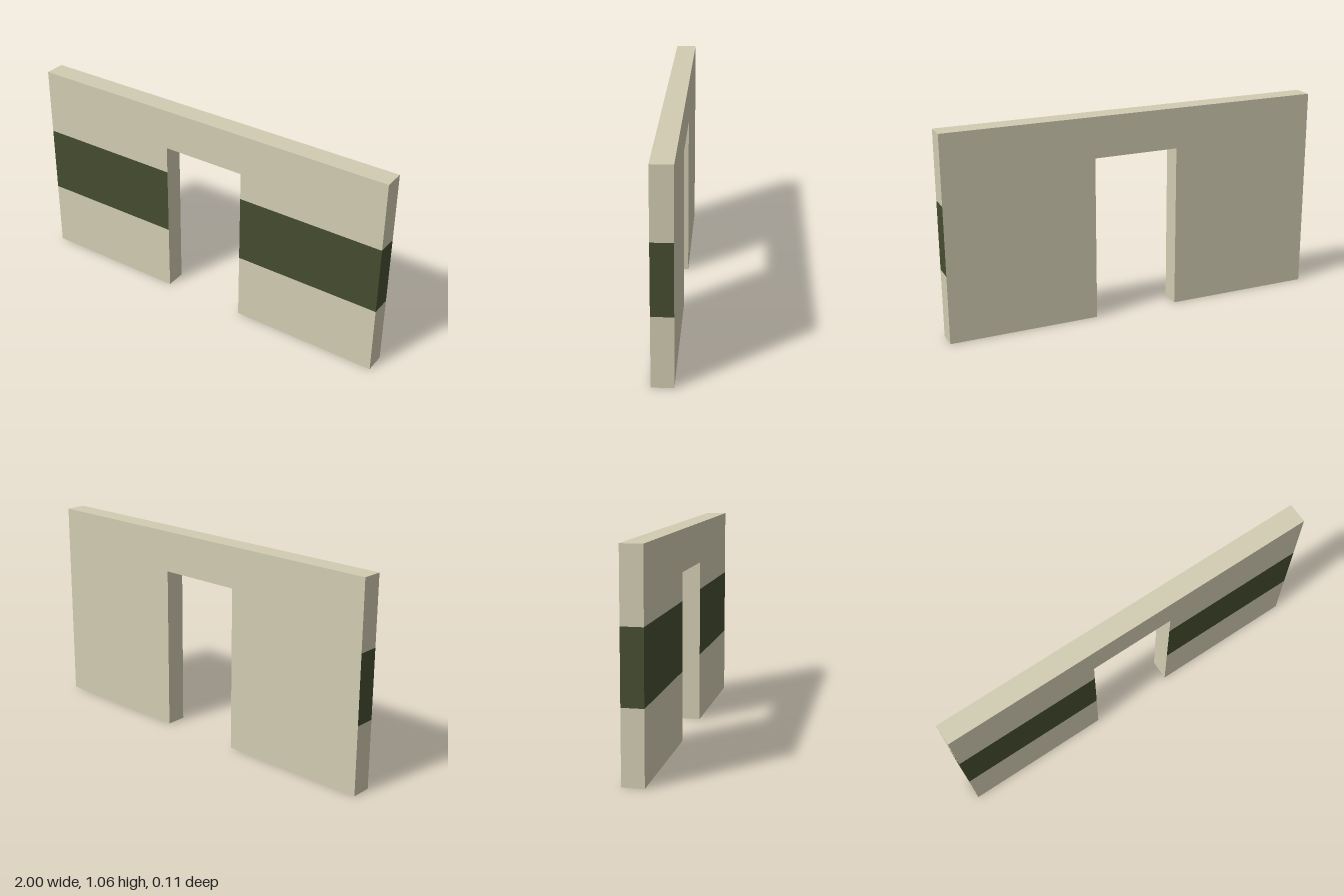
import * as THREE from 'three';
import { mergeGeometries } from 'three/addons/utils/BufferGeometryUtils.js';

const W = 1, H = 1.06, D = 0.053;          // half width, height, half depth
const DOOR = 0.223, DOOR_H = 0.85;         // half width and height of the opening
const LOW = 0.355, HIGH = 0.708;           // bottom and top of the painted band

// Rectangles facing along z, x or y
const facingZ = (x0, x1, y0, y1) =>
  new THREE.PlaneGeometry(x1 - x0, y1 - y0).translate((x0 + x1) / 2, (y0 + y1) / 2, D);
const facingX = (x, dir, y0, y1) =>
  new THREE.PlaneGeometry(2 * D, y1 - y0).rotateY(dir * Math.PI / 2).translate(x, (y0 + y1) / 2, 0);
const facingY = (y, dir, x0, x1) =>
  new THREE.PlaneGeometry(x1 - x0, 2 * D).rotateX(-dir * Math.PI / 2).translate((x0 + x1) / 2, y, 0);

export function createModel() {
  const group = new THREE.Group();
  group.name = 'doorwayWall';
  const plaster = new THREE.MeshStandardMaterial({ color: 0xd1ccb1 });
  const paint = new THREE.MeshStandardMaterial({ color: 0x454d30 });

  const add = (name, geometries, material) => {
    const mesh = new THREE.Mesh(mergeGeometries(geometries), material);
    mesh.name = name;
    group.add(mesh);
  };

  // Plain back face with the doorway cut out
  const outline = new THREE.Shape([
    [-W, 0], [-DOOR, 0], [-DOOR, DOOR_H], [DOOR, DOOR_H],
    [DOOR, 0], [W, 0], [W, H], [-W, H],
  ].map(([x, y]) => new THREE.Vector2(x, y)));
  add('backFace', [new THREE.ShapeGeometry(outline).rotateY(Math.PI).translate(0, 0, -D)], plaster);

  // Lintel front, wall top and underside of the opening
  add('lintel', [
    facingZ(-W, W, DOOR_H, H),
    facingY(H, 1, -W, W),
    facingY(DOOR_H, -1, -DOOR, DOOR),
  ], plaster);

  // Piers on both sides, with the band running over the front and outer end
  for (const [side, s] of [['left', 1], ['right', -1]]) {
    const [x0, x1] = s > 0 ? [DOOR, W] : [-W, -DOOR];
    add(side + 'Pier', [
      facingZ(x0, x1, 0, LOW),
      facingZ(x0, x1, HIGH, DOOR_H),
      facingX(s * W, s, 0, LOW),
      facingX(s * W, s, HIGH, H),
      facingX(s * DOOR, -s, 0, DOOR_H),
      facingY(0, -1, x0, x1),
    ], plaster);
    add(side + 'Band', [
      facingZ(x0, x1, LOW, HIGH),
      facingX(s * W, s, LOW, HIGH),
    ], paint);
  }
  return group;
}
